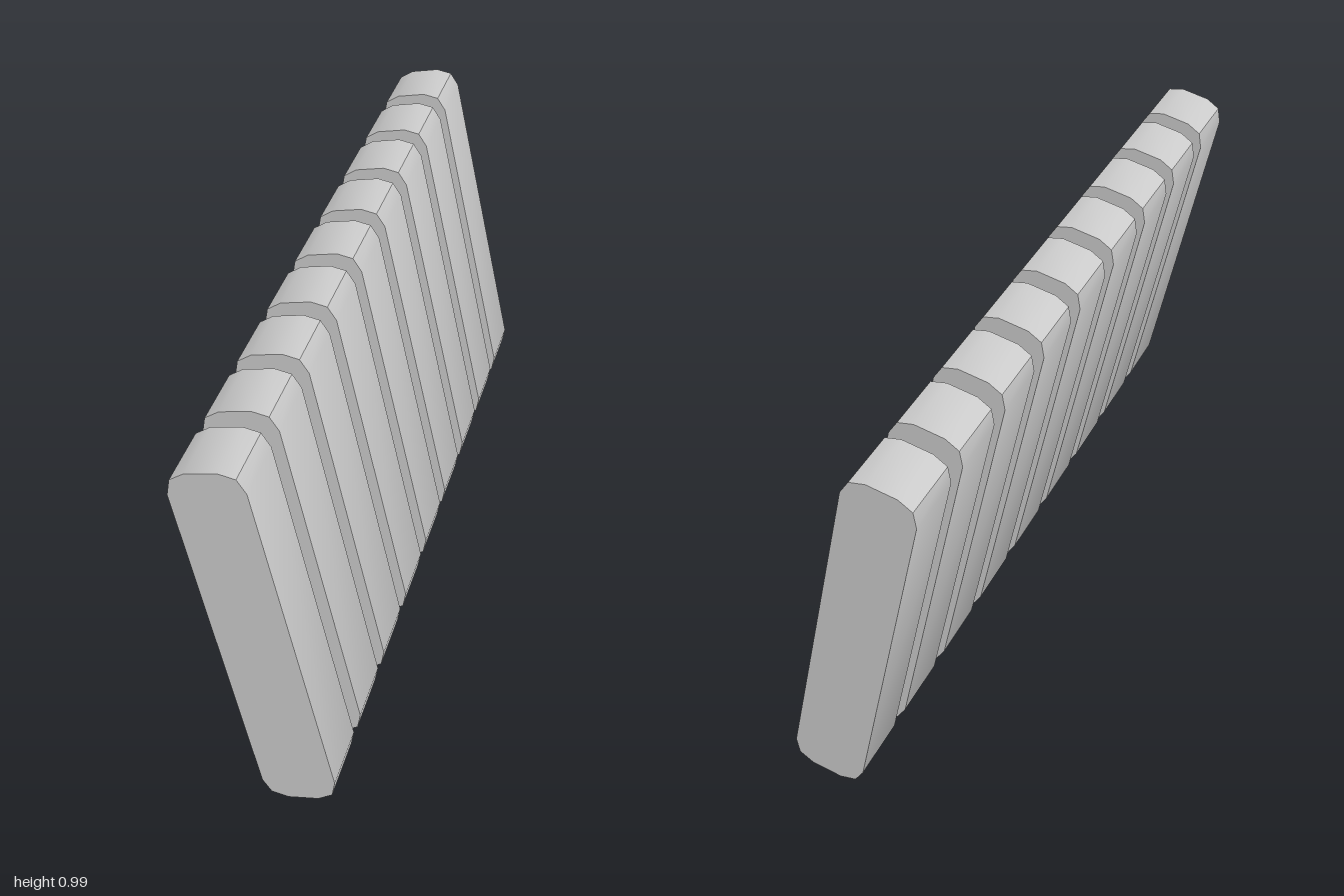
import * as THREE from 'three';
import { toCreasedNormals } from 'three/addons/utils/BufferGeometryUtils.js';

const COUNT = 9, DEPTH = 0.17, LENGTH = 2, MID_Y = 0.4925;

export function createModel() {
  const group = new THREE.Group();
  group.name = 'radiator';
  const material = new THREE.MeshStandardMaterial({ color: 0xcccccc });

  // Leaning column outline: one end, then the same end turned half round
  const end = [[0, 0.45], [-0.023, 0.485], [-0.065, 0.4925], [-0.142, 0.476], [-0.177, 0.452], [-0.184, 0.409]];
  const outline = [...end, ...end.map(([x, y]) => [-x, -y])]
    .map(([x, y]) => new THREE.Vector2(x, y + MID_Y));
  const columnGeometry = toCreasedNormals(
    new THREE.ExtrudeGeometry(new THREE.Shape(outline), { depth: DEPTH, bevelEnabled: false }), 0.8);

  // Evenly spaced columns
  const pitch = (LENGTH - DEPTH) / (COUNT - 1);
  for (let i = 0; i < COUNT; i++) {
    const column = new THREE.Mesh(columnGeometry, material);
    column.name = `column${i + 1}`;
    column.position.z = -LENGTH / 2 + i * pitch;
    group.add(column);
  }

  // Upper and lower pipes joining the columns
  const pipeGeometry = new THREE.CylinderGeometry(0.054, 0.054, LENGTH - DEPTH, 20).rotateX(Math.PI / 2);
  for (const [name, side] of [['upperPipe', 1], ['lowerPipe', -1]]) {
    const pipe = new THREE.Mesh(pipeGeometry, material);
    pipe.name = name;
    pipe.position.set(-0.079 * side, MID_Y + 0.372 * side, 0);
    group.add(pipe);
  }
  return group;
}
